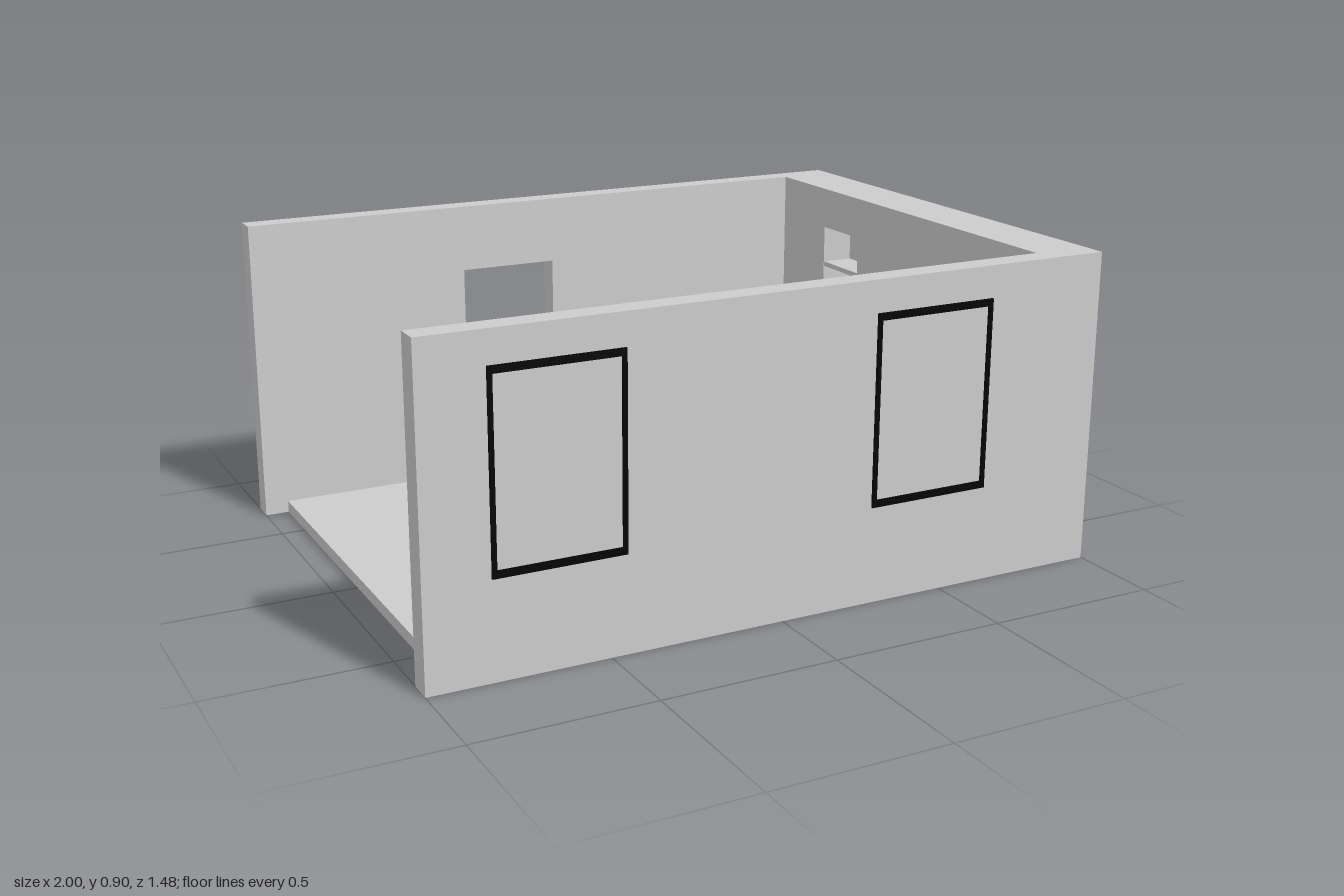
import * as THREE from 'three';

const grey = new THREE.MeshStandardMaterial({ color: 0xcccccc });
const black = new THREE.MeshStandardMaterial({ color: 0x050505 });

const H = 0.9, FLOOR = 0.035;
const BACK = -0.74, BACK_IN = -0.675, FRONT_IN = 0.66, FRONT = 0.73, SIDE_IN = 0.83;

function add(parent, name, geometry, material = grey) {
  const mesh = new THREE.Mesh(geometry, material);
  mesh.name = name;
  parent.add(mesh);
  return mesh;
}

// Box given by its limits on each axis
function block(x0, x1, y0, y1, z0, z1) {
  return new THREE.BoxGeometry(x1 - x0, y1 - y0, z1 - z0)
    .translate((x0 + x1) / 2, (y0 + y1) / 2, (z0 + z1) / 2);
}

function trace(path, [u0, u1, v0, v1]) {
  return path.moveTo(u0, v0).lineTo(u1, v0).lineTo(u1, v1).lineTo(u0, v1).closePath();
}

// Upright slab with rectangular openings, extruded from z = near to z = far
function slab(outline, holes, near, far) {
  const shape = trace(new THREE.Shape(), outline);
  holes.forEach(h => shape.holes.push(trace(new THREE.Path(), h)));
  return new THREE.ExtrudeGeometry(shape, { depth: far - near, bevelEnabled: false })
    .translate(0, 0, near);
}

export function createModel() {
  const room = new THREE.Group();
  room.name = 'room';

  add(room, 'floor', block(-0.93, SIDE_IN, 0, FLOOR, BACK_IN, FRONT_IN));

  // Back wall with the doorway
  add(room, 'backWall', slab([-1, 1, 0, H], [[-0.33, -0.03, FLOOR, 0.7]], BACK, BACK_IN));

  // Front wall with two framed windows
  const windows = [[-0.82, -0.455, 0.275, 0.81], [0.27, 0.635, 0.275, 0.81]];
  add(room, 'frontWall', slab([-1, 1, 0, H], windows, FRONT_IN, FRONT));
  windows.forEach(([x0, x1, y0, y1]) => {
    const inner = [x0 + 0.013, x1 - 0.013, y0 + 0.02, y1 - 0.02];
    add(room, 'windowFrame', slab([x0, x1, y0, y1], [inner], 0.643, 0.736), black);
    add(room, 'windowPane', block(...inner, 0.69, FRONT));
  });

  // Thick end wall: a layer with two alcoves in front of a solid backing
  const alcoves = [[0.285, 0.483], [-0.423, -0.225]];
  const low = 0.32, high = 0.775, niche = 0.93;
  add(room, 'endWall', slab([-FRONT_IN, -BACK_IN, 0, H],
    alcoves.map(([z0, z1]) => [-z1, -z0, low, high]), SIDE_IN, niche).rotateY(Math.PI / 2));
  add(room, 'endWallBacking', block(niche, 1, 0, H, BACK_IN, FRONT_IN));

  // Shelves in the alcoves
  alcoves.forEach(([z0, z1]) => {
    for (const y of [0.66, 0.56, 0.46]) {
      add(room, 'shelf', block(SIDE_IN + 0.002, niche, y - 0.015, y, z0, z1));
    }
  });

  // Fireplace between the alcoves
  add(room, 'fireplace', block(0.73, SIDE_IN, FLOOR, 0.43, -0.17, 0.23), black);

  return room;
}
